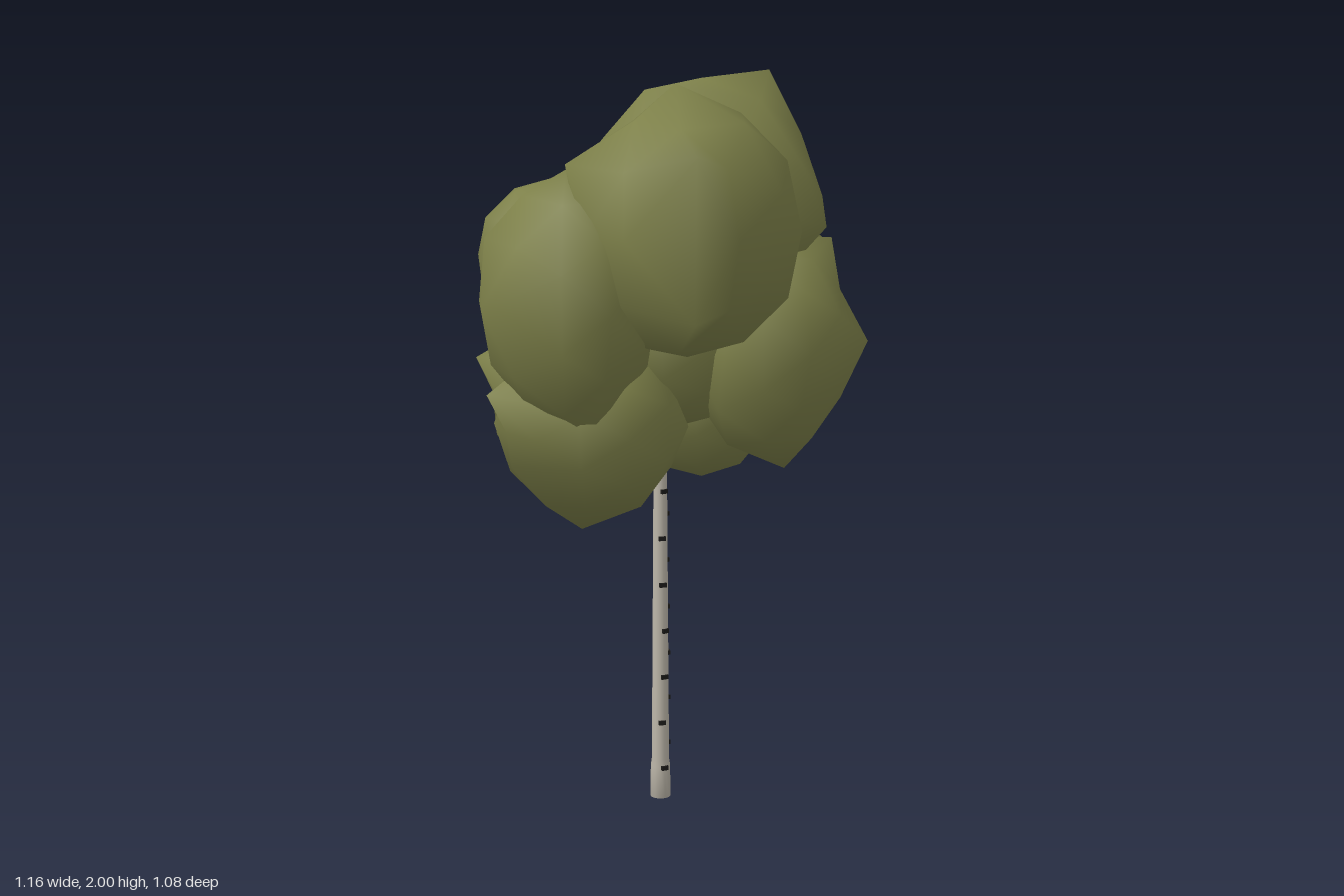
import * as THREE from 'three';
import { mergeVertices } from 'three/addons/utils/BufferGeometryUtils.js';

const leafMat = new THREE.MeshStandardMaterial({ color: 0x7d8049 });
leafMat.name = 'olive leaves';
const barkMat = new THREE.MeshStandardMaterial({ color: 0xbcb6a9 });
barkMat.name = 'pale bark';
const markMat = new THREE.MeshStandardMaterial({ color: 0x1c1b19 });
markMat.name = 'dark bark marks';

// Low-poly, smoothly shaded leaf clump: an ellipsoid with seeded jitter,
// whose nearest vertices are pulled out to a few corner points.
function clump(center, radii, tips, seed) {
  const geo = new THREE.IcosahedronGeometry(1, 1);
  geo.deleteAttribute('uv');
  geo.deleteAttribute('normal');
  const merged = mergeVertices(geo, 1e-3);
  const pos = merged.attributes.position;
  const c = new THREE.Vector3(...center);
  const r = new THREE.Vector3(...radii);
  let s = seed;
  const rand = () => (s = (s * 16807) % 2147483647) / 2147483647;

  const dirs = [];
  for (let i = 0; i < pos.count; i++) {
    const d = new THREE.Vector3().fromBufferAttribute(pos, i);
    dirs.push(d.clone());
    d.multiply(r).multiplyScalar(0.94 + 0.11 * rand()).add(c);
    pos.setXYZ(i, d.x, d.y, d.z);
  }
  for (const tip of tips) {
    const d = new THREE.Vector3(...tip).sub(c).divide(r).normalize();
    const scores = dirs.map((v) => v.dot(d));
    pos.setXYZ(scores.indexOf(Math.max(...scores)), ...tip);
  }
  merged.computeVertexNormals();
  return new THREE.Mesh(merged, leafMat);
}

// name, centre, radii, corner points
const clumps = [
  ['frontTopClump', [-0.08, 1.62, 0.26], [0.29, 0.34, 0.27],
    [[-0.11, 1.99, 0.25], [-0.37, 1.79, 0.15], [-0.2, 1.83, 0.54], [-0.2, 1.42, 0.53]]],
  ['topClump', [0.14, 1.67, -0.08], [0.31, 0.32, 0.31],
    [[0.33, 2, -0.05], [0.01, 1.97, 0.02], [-0.07, 1.75, -0.36], [0.36, 1.6, 0.21]]],
  ['leftUpperClump', [-0.34, 1.43, 0.09], [0.23, 0.33, 0.27],
    [[-0.58, 1.45, 0.18], [-0.32, 1.09, 0.2]]],
  ['rightFrontClump', [0.25, 1.28, 0.1], [0.23, 0.3, 0.22],
    [[0.29, 0.94, 0.12], [0.43, 1.56, 0.12], [0.45, 1.3, 0.28]]],
  ['leftLowerClump', [-0.24, 1.09, 0.02], [0.25, 0.24, 0.25],
    [[-0.25, 0.8, -0.02], [-0.47, 1, 0.02], [-0.55, 1.2, 0.05]]],
  ['rightLowerBackClump', [0.26, 1.07, -0.3], [0.22, 0.23, 0.22],
    [[0.34, 0.84, -0.42], [0.24, 1.27, -0.52]]],
  ['backClump', [-0.19, 1.49, -0.33], [0.21, 0.23, 0.21],
    [[-0.17, 1.48, -0.54], [-0.37, 1.5, -0.42]]],
  ['rightBackClump', [0.36, 1.4, -0.17], [0.21, 0.26, 0.24],
    [[0.53, 1.55, -0.35], [0.57, 1.31, -0.1]]],
  ['backLowerClump', [-0.24, 1.16, -0.11], [0.22, 0.22, 0.2], [[-0.46, 1.25, -0.23]]],
  ['innerClump', [0.03, 1.3, -0.05], [0.24, 0.25, 0.24], []],
];

export function createModel() {
  const tree = new THREE.Group();
  tree.name = 'birchTree';

  // Trunk with a slightly flared foot, running up inside the leaves
  const trunkZ = -0.05;
  const profile = [[0, 0], [0.028, 0], [0.027, 0.09], [0.024, 0.11], [0.018, 1], [0.01, 1.5], [0, 1.5]];
  const trunk = new THREE.Mesh(
    new THREE.LatheGeometry(profile.map(([x, y]) => new THREE.Vector2(x, y)), 12), barkMat);
  trunk.name = 'trunk';
  trunk.position.z = trunkZ;
  tree.add(trunk);

  // Bark marks alternate between the front and the left (+x) side
  const marks = new THREE.Group();
  marks.name = 'barkMarks';
  marks.position.z = trunkZ;
  const markGeo = new THREE.BoxGeometry(0.02, 0.012, 0.008);
  for (let i = 0; i < 14; i++) {
    const y = 0.088 + i * 0.0655;
    const radius = y < 0.11 ? 0.027 : 0.024 - (y - 0.11) * 0.0067;
    const angle = (i % 2 ? Math.PI / 2 : 0) + 0.25 * Math.sin(i * 2.3);
    const mark = new THREE.Mesh(markGeo, markMat);
    mark.name = 'barkMark';
    mark.position.set(Math.sin(angle) * radius, y, Math.cos(angle) * radius);
    mark.rotation.y = angle;
    marks.add(mark);
  }
  tree.add(marks);

  // Leaf crown
  const crown = new THREE.Group();
  crown.name = 'crown';
  clumps.forEach(([name, center, radii, tips], i) => {
    const mesh = clump(center, radii, tips, 101 + i * 7919);
    mesh.name = name;
    crown.add(mesh);
  });
  tree.add(crown);

  return tree;
}
